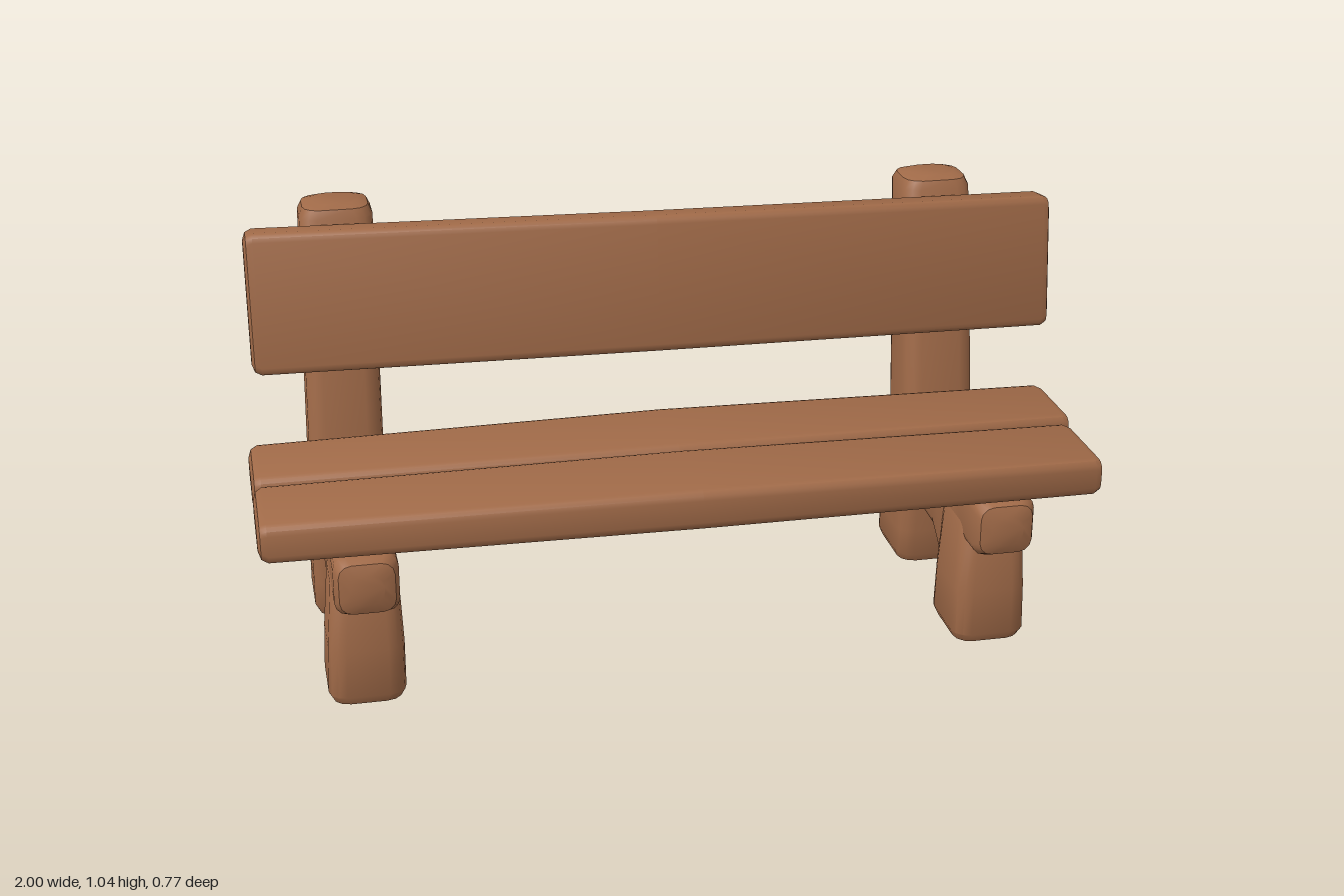
import * as THREE from 'three';
import { toCreasedNormals } from 'three/addons/utils/BufferGeometryUtils.js';

const wood = new THREE.MeshStandardMaterial({ color: 0xa06a48 });
wood.name = 'brown wood';

// Lofts rounded rectangles along an axis (0 = x, 1 = y, 2 = z).
// Each ring is [t, a0, a1, b0, b1]; a and b are the next two axes in cyclic order.
function loft(axis, rings, radius, bevel) {
  const steps = 3;
  const inset = ([t, a0, a1, b0, b1], dt, d) => [t + dt, a0 + d, a1 - d, b0 + d, b1 - d];
  const first = rings[0], last = rings[rings.length - 1];
  const all = [
    inset(first, 0, bevel), inset(first, bevel * 0.3, bevel * 0.3), inset(first, bevel, 0),
    ...rings.slice(1, -1),
    inset(last, -bevel, 0), inset(last, -bevel * 0.3, bevel * 0.3), inset(last, 0, bevel),
  ];
  const positions = [], indices = [];
  const push = (t, a, b) => {
    const p = [0, 0, 0];
    p[axis] = t;
    p[(axis + 1) % 3] = a;
    p[(axis + 2) % 3] = b;
    positions.push(...p);
  };
  const n = 4 * (steps + 1);
  for (const [t, a0, a1, b0, b1] of all) {
    const r = Math.min(radius, (a1 - a0) * 0.45, (b1 - b0) * 0.45);
    for (let c = 0; c < 4; c++) {
      const ca = c === 0 || c === 3 ? a1 - r : a0 + r;
      const cb = c < 2 ? b1 - r : b0 + r;
      for (let s = 0; s <= steps; s++) {
        const angle = (c + s / steps) * Math.PI / 2;
        push(t, ca + r * Math.cos(angle), cb + r * Math.sin(angle));
      }
    }
  }
  for (let k = 0; k < all.length - 1; k++) {
    for (let i = 0; i < n; i++) {
      const a = k * n + i, b = k * n + (i + 1) % n;
      indices.push(a, b, b + n, a, b + n, a + n);
    }
  }
  // End caps
  const top = (all.length - 1) * n;
  for (let i = 1; i < n - 1; i++) {
    indices.push(0, i + 1, i, top, top + i, top + i + 1);
  }
  const geometry = new THREE.BufferGeometry();
  geometry.setAttribute('position', new THREE.Float32BufferAttribute(positions, 3));
  geometry.setIndex(indices);
  return toCreasedNormals(geometry, 0.7);
}

function part(name, geometry) {
  const mesh = new THREE.Mesh(geometry, wood);
  mesh.name = name;
  return mesh;
}

// One end frame: rear post, front leg and the bearer joining them
function endFrame(name, x, lean, postTop) {
  const frame = new THREE.Group();
  frame.name = name;
  const ring = (y, z0, z1, half) => [y, z0, z1, x + lean * y - half, x + lean * y + half];

  frame.add(part('rearPost', loft(1, [
    ring(0, -0.375, -0.15, 0.09),
    ring(0.1, -0.362, -0.145, 0.092),
    ring(0.22, -0.335, -0.135, 0.092),
    ring(0.42, -0.32, -0.138, 0.09),
    ring(0.65, -0.342, -0.175, 0.089),
    ring(0.85, -0.364, -0.205, 0.088),
    ring(postTop, -0.387, -0.235, 0.087),
  ], 0.04, 0.03)));

  frame.add(part('frontLeg', loft(1, [
    ring(0.005, 0.1, 0.312, 0.09),
    ring(0.15, 0.105, 0.308, 0.088),
    ring(0.34, 0.11, 0.3, 0.078),
  ], 0.04, 0.03)));

  // Bearer under the seat, flaring down into the front leg
  const bx = x + lean * 0.3;
  const beam = (z, y0) => [z, bx - 0.074, bx + 0.074, y0, 0.412];
  frame.add(part('seatBearer', loft(2, [
    beam(-0.22, 0.21), beam(-0.14, 0.21), beam(0.045, 0.202), beam(0.11, 0.152),
    beam(0.2, 0.16), beam(0.27, 0.27), beam(0.382, 0.27),
  ], 0.03, 0.035)));
  return frame;
}

export function createModel() {
  const bench = new THREE.Group();
  bench.name = 'bench';

  bench.add(endFrame('rightFrame', -0.772, 0.02, 1.042));
  bench.add(endFrame('leftFrame', 0.733, 0, 1.022));

  // Seat planks, slightly uneven
  bench.add(part('frontSeatPlank', loft(0, [
    [-1, 0.42, 0.513, 0.135, 0.375],
    [0, 0.415, 0.513, 0.128, 0.386],
    [0.968, 0.41, 0.5, 0.132, 0.378],
  ], 0.022, 0.022)));
  bench.add(part('rearSeatPlank', loft(0, [
    [-1, 0.42, 0.513, -0.11, 0.115],
    [0, 0.412, 0.515, -0.128, 0.124],
    [0.985, 0.41, 0.503, -0.118, 0.115],
  ], 0.022, 0.022)));

  // Backrest board, leaning back
  const back = part('backrest', loft(0, [
    [-0.975, -0.158, 0.182, -0.05, 0.05],
    [0, -0.17, 0.165, -0.048, 0.05],
    [0.995, -0.178, 0.152, -0.05, 0.048],
  ], 0.02, 0.022));
  back.position.set(0, 0.83, -0.172);
  back.rotation.x = -0.12;
  bench.add(back);

  return bench;
}
